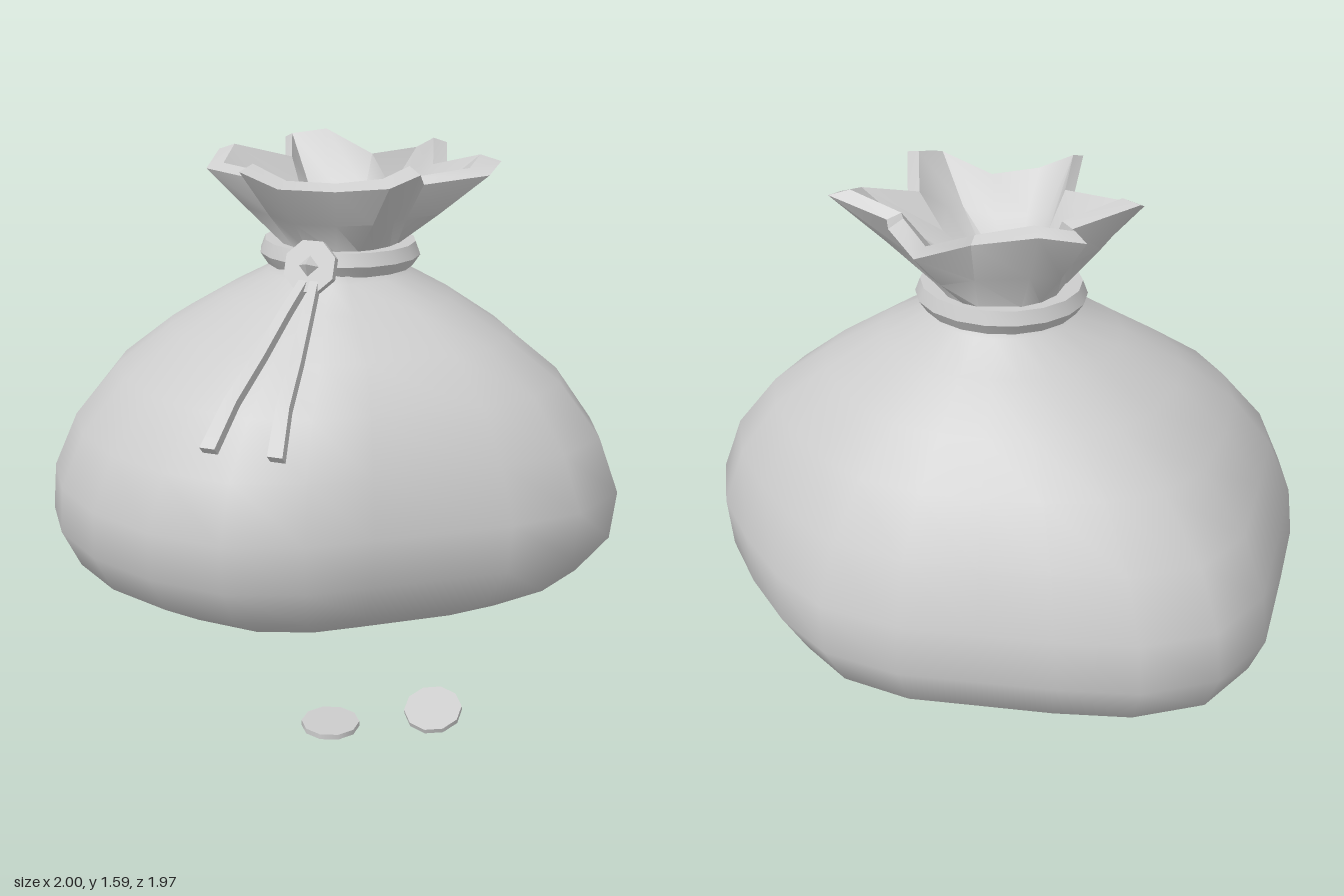
import * as THREE from 'three';
import { toCreasedNormals } from 'three/addons/utils/BufferGeometryUtils.js';

const clay = new THREE.MeshStandardMaterial({ color: 0xcccccc });
clay.name = 'light grey';

// Joins closed rings of [x, y, z] points; rings run clockwise seen from their far end.
function loft(rings) {
  const n = rings[0].length;
  const index = [];
  for (let i = 0; i < rings.length - 1; i++) {
    for (let j = 0; j < n; j++) {
      const k = (j + 1) % n;
      const a = i * n + j, b = i * n + k, c = b + n, d = a + n;
      index.push(a, d, c, a, c, b);
    }
  }
  const g = new THREE.BufferGeometry();
  g.setAttribute('position', new THREE.Float32BufferAttribute(rings.flat(2), 3));
  g.setIndex(index);
  g.computeVertexNormals();
  return g;
}

function add(parent, name, geometry) {
  const mesh = new THREE.Mesh(geometry, clay);
  mesh.name = name;
  parent.add(mesh);
  return mesh;
}

// Slumped plan outline (x, z) at the widest part
const PLAN = [
  [0.17, -0.98], [0.43, -0.92], [0.62, -0.78], [0.78, -0.6], [0.92, -0.4], [1, -0.18],
  [0.92, 0.05], [0.74, 0.23], [0.36, 0.5], [0.17, 0.63], [-0.08, 0.72], [-0.35, 0.7],
  [-0.6, 0.61], [-0.81, 0.45], [-0.95, 0.25], [-1, 0.04], [-0.98, -0.25], [-0.95, -0.6],
  [-0.82, -0.82], [-0.59, -0.93], [-0.33, -0.96], [-0.08, -0.97],
];
// Height, then the extent to right, left, back and front
const LEVELS = [
  [0, 0, 0, -0.14, -0.14],
  [0.005, -0.53, 0.43, -0.55, 0.2],
  [0.04, -0.82, 0.68, -0.8, 0.47],
  [0.14, -0.95, 0.87, -0.93, 0.63],
  [0.28, -1, 0.98, -0.985, 0.71],
  [0.45, -0.98, 1, -0.97, 0.725],
  [0.64, -0.9, 0.93, -0.89, 0.66],
  [0.82, -0.77, 0.79, -0.78, 0.53],
  [0.96, -0.6, 0.6, -0.645, 0.35],
  [1.08, -0.4, 0.4, -0.5, 0.21],
  [1.16, -0.25, 0.25, -0.37, 0.09],
  [1.22, -0.22, 0.22, -0.35, 0.07],
];
const CZ = -0.14;

function bodyGeometry() {
  return loft(LEVELS.map(([y, x0, x1, z0, z1]) => {
    const round = THREE.MathUtils.smoothstep(y, 0.6, 1.16);
    return PLAN.map(([px, pz]) => {
      let u = px, v = (pz - CZ) / (pz > CZ ? 0.86 : 0.84);
      const s = THREE.MathUtils.lerp(1, 1 / Math.hypot(u, v), round);
      u *= s;
      v *= s;
      return [u * (u > 0 ? x1 : -x0), y, CZ + v * (v > 0 ? z1 - CZ : CZ - z0)];
    });
  }));
}

// Gathered mouth: rim corners (x, height, z), two per lobe and one per fold
const RIM = [
  [-0.32, 1.55, -0.45], [-0.18, 1.57, -0.48], [0.04, 1.5, -0.42],
  [0.18, 1.51, -0.57], [0.28, 1.56, -0.48], [0.34, 1.5, -0.28],
  [0.54, 1.55, -0.24], [0.53, 1.52, -0.13], [0.33, 1.49, -0.05],
  [0.38, 1.56, 0.15], [0.31, 1.53, 0.25], [0.1, 1.49, 0.17],
  [-0.07, 1.5, 0.24], [-0.2, 1.55, 0.25], [-0.2, 1.49, 0.07],
  [-0.44, 1.5, -0.02], [-0.44, 1.55, -0.13], [-0.24, 1.5, -0.245],
];

function mouthGeometry() {
  // t runs from a round ring (0) to the folded rim (1)
  const ring = (r, y, t, scale = 1, lift = 0) => RIM.map(([x, h, z]) => {
    const dx = x, dz = z + 0.15, len = Math.hypot(dx, dz);
    const k = THREE.MathUtils.lerp(r / len, scale, t);
    return [dx * k, THREE.MathUtils.lerp(y, h + lift, t), -0.15 + dz * k];
  });
  return toCreasedNormals(loft([
    ring(0.21, 1.18, 0),
    ring(0.21, 1.26, 0),
    ring(0.22, 1.26, 0.45),
    ring(0.22, 1.26, 1),
    ring(0, 0, 1, 0.87, 0.02),
    ring(0.13, 1.29, 0.5, 0.87),
    ring(0.1, 1.28, 0),
    ring(0, 1.26, 0),
  ]), 0.75);
}

// Flat cord from its loose end (endX) up to the knot (topX)
function cordGeometry(endX, topX) {
  const path = [[0.735, 0.64], [0.865, 0.535], [0.975, 0.385], [1.09, 0.25], [1.19, 0.13]];
  const section = ([y, z], i, size) => {
    const t = i / (path.length - 1);
    const x = THREE.MathUtils.lerp(endX, topX, t);
    const w = THREE.MathUtils.lerp(0.026, 0.014, t) * size;
    const n = 0.013 * size;
    return [[w, -n], [w, n], [-w, n], [-w, -n]].map(([a, b]) => [x + a, y + b, z + b]);
  };
  const rings = path.map((p, i) => section(p, i, 1));
  rings.unshift(section(path[0], 0, 0));
  rings.push(section(path[4], 4, 0));
  return toCreasedNormals(loft(rings), 0.5);
}

export function createModel() {
  const model = new THREE.Group();
  model.name = 'tiedSack';

  add(model, 'sackBody', bodyGeometry());
  add(model, 'gatheredMouth', mouthGeometry());

  // Bevelled band around the neck
  const profile = [[0.2, 1.18], [0.255, 1.18], [0.282, 1.22], [0.265, 1.265], [0.2, 1.265]]
    .map(([r, y]) => new THREE.Vector2(r, y));
  const band = add(model, 'neckBand', toCreasedNormals(new THREE.LatheGeometry(profile, 18), 0.5));
  band.position.z = -0.15;
  band.scale.z = 0.89;

  // Knot: tilted octagonal plate with a pointed stud
  const knot = new THREE.Group();
  knot.name = 'knot';
  knot.position.set(0, 1.225, 0.13);
  knot.rotation.x = -0.4;
  model.add(knot);
  const plate = new THREE.CylinderGeometry(0.093, 0.093, 0.03, 8);
  plate.rotateY(Math.PI / 8).rotateX(Math.PI / 2);
  add(knot, 'knotPlate', toCreasedNormals(plate, 0.5));
  const stud = add(knot, 'knotStud', new THREE.OctahedronGeometry(0.035));
  stud.position.z = 0.02;

  // Two hanging cords
  add(model, 'rightCord', cordGeometry(-0.15, -0.01));
  add(model, 'leftCord', cordGeometry(0.08, 0.02));

  // Loose coins, one flat and one leaning
  const coins = [[0.355, 0.009, 0.895, 0], [0.64, 0.042, 0.765, 0.36]];
  for (const [x, y, z, tilt] of coins) {
    const disc = toCreasedNormals(new THREE.CylinderGeometry(0.088, 0.088, 0.016, 10), 0.8);
    const coin = add(model, 'coin', disc);
    coin.position.set(x, y, z);
    coin.rotation.x = tilt;
  }
  return model;
}
